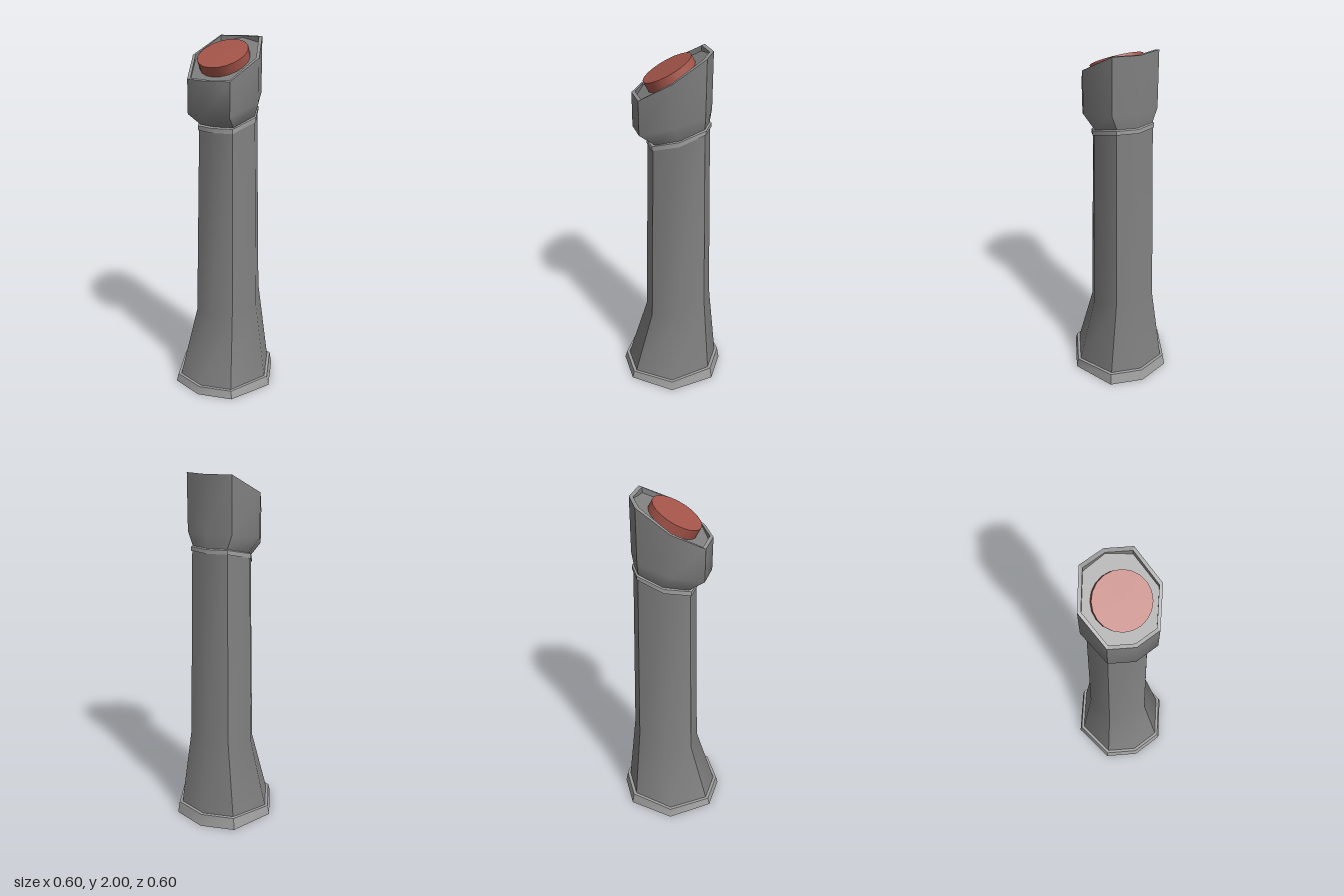
import * as THREE from 'three';

const bodyGrey = new THREE.MeshStandardMaterial({ color: 0x808080 });
const trimGrey = new THREE.MeshStandardMaterial({ color: 0xa0a0a0 });
const rimGrey = new THREE.MeshStandardMaterial({ color: 0x939393 });
const red = new THREE.MeshStandardMaterial({ color: 0xa5554a });

// Eight-sided cross-section, running from front to +x, back and -x.
// front/back: z limits, rx: half width, y heights at front, sides and back.
function ring(front, back, rx, yF, yS = yF, yB = yF) {
  const zc = (front + back) / 2, hz = (front - back) / 2;
  const mx = rx * 0.635, mz = hz * 0.812;
  return [
    [0, yF, front], [mx, yF, zc + mz], [rx, yS, zc], [mx, yB, zc - mz],
    [0, yB, back], [-mx, yB, zc - mz], [-rx, yS, zc], [-mx, yF, zc + mz],
  ];
}

// Skin between rings as four softly bowed panels that meet in sharp corners.
function loft(name, material, rings) {
  const pos = [], idx = [];
  for (let panel = 0; panel < 4; panel++) {
    const base = pos.length / 3;
    for (const r of rings)
      for (let k = 0; k < 3; k++) pos.push(...r[(panel * 2 + 7 + k) % 8]);
    for (let j = 0; j < rings.length - 1; j++)
      for (let k = 0; k < 2; k++) {
        const a = base + j * 3 + k, b = a + 1, c = a + 3, d = a + 4;
        idx.push(a, b, d, a, d, c);
      }
  }
  const g = new THREE.BufferGeometry();
  g.setAttribute('position', new THREE.Float32BufferAttribute(pos, 3));
  g.setIndex(idx);
  g.computeVertexNormals();
  const mesh = new THREE.Mesh(g, material);
  mesh.name = name;
  return mesh;
}

export function createModel() {
  const model = new THREE.Group();
  model.name = 'buttonPedestal';

  // Foot plate
  const footLow = ring(0.302, -0.302, 0.302, 0);
  const footTop = ring(0.29, -0.29, 0.29, 0.045, 0.055, 0.07);
  const shaftLow = ring(0.272, -0.272, 0.272, 0.045, 0.055, 0.07);
  model.add(
    loft('footUnderside', trimGrey, [ring(0, 0, 0, 0), footLow]),
    loft('footWall', trimGrey, [footLow, footTop]),
    loft('footLedge', trimGrey, [footTop, shaftLow]),
  );

  // Shaft: flared foot, then a slim backward-leaning column
  const shaftTop = ring(0.13, -0.2, 0.167, 1.51, 1.56, 1.6);
  model.add(loft('shaft', bodyGrey, [
    shaftLow,
    ring(0.155, -0.225, 0.19, 0.44, 0.48, 0.54),
    shaftTop,
  ]));

  // Collar under the head
  const collarLow = ring(0.137, -0.207, 0.173, 1.51, 1.56, 1.6);
  const collarTop = ring(0.137, -0.207, 0.173, 1.535, 1.585, 1.622);
  const headLow = ring(0.118, -0.197, 0.163, 1.54, 1.59, 1.626);
  model.add(
    loft('collarUnderside', trimGrey, [shaftTop, collarLow]),
    loft('collarBand', trimGrey, [collarLow, collarTop]),
    loft('collarLedge', trimGrey, [collarTop, headLow]),
  );

  // Head with raised rim and sunken, flat sloping panel
  const headTop = ring(0.208, -0.208, 0.206, 1.79, 1.9, 2);
  const rimIn = ring(0.19, -0.187, 0.188, 1.795, 1.9, 1.997);
  const panelEdge = rimIn.map(([x, , z]) => [x, 1.876 - 0.6 * z, z]);
  model.add(
    loft('head', bodyGrey, [headLow, ring(0.208, -0.208, 0.206, 1.605, 1.67, 1.7), headTop]),
    loft('rim', rimGrey, [headTop, rimIn]),
    loft('rimInside', bodyGrey, [rimIn, panelEdge]),
    loft('panel', bodyGrey, [panelEdge, ring(0, 0, 0, 1.876)]),
  );

  // Round push button, square to the panel
  const tilt = 0.49, height = 0.08;
  const button = new THREE.Mesh(new THREE.CylinderGeometry(0.14, 0.14, height, 20), red);
  button.name = 'button';
  button.rotation.x = tilt;
  button.position.set(0, 1.918 - Math.cos(tilt) * height / 2, 0.026 - Math.sin(tilt) * height / 2);
  model.add(button);

  return model;
}
